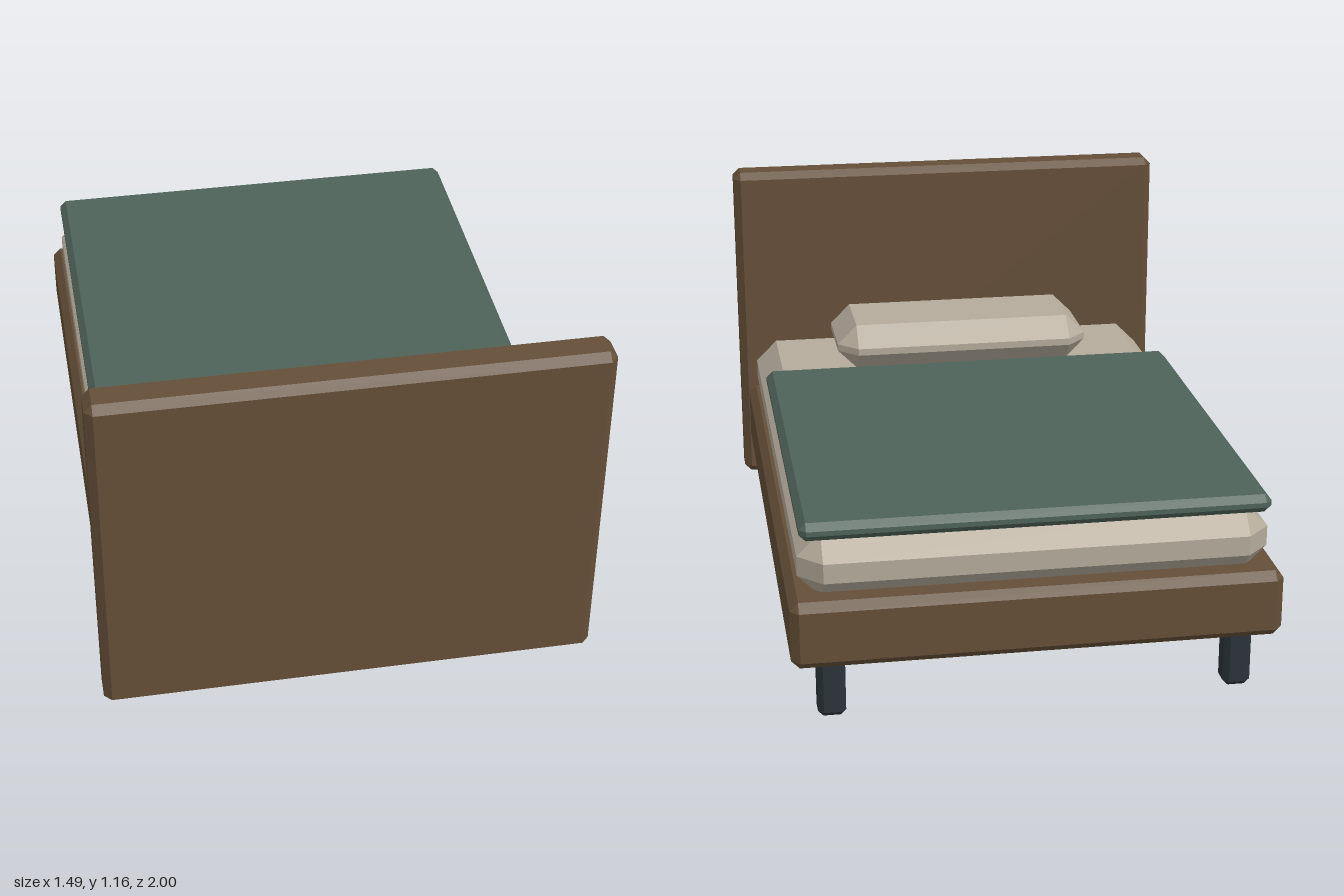
import * as THREE from 'three';
import { ConvexGeometry } from 'three/addons/geometries/ConvexGeometry.js';

const material = (color) => new THREE.MeshStandardMaterial({ color, flatShading: true });

// Box between two corners with every edge and corner cut flat by b
function chamferBox(name, min, max, b, mat) {
  const size = max.map((v, i) => v - min[i]);
  const points = [];
  for (const sx of [-1, 1]) for (const sy of [-1, 1]) for (const sz of [-1, 1]) {
    const s = [sx, sy, sz];
    // three points per corner, each lying on one of the flat faces
    for (let face = 0; face < 3; face++) {
      points.push(new THREE.Vector3(...s.map((d, i) => d * (size[i] / 2 - (i === face ? 0 : b)))));
    }
  }
  const mesh = new THREE.Mesh(new ConvexGeometry(points), mat);
  mesh.position.set(...min.map((v, i) => (v + max[i]) / 2));
  mesh.name = name;
  return mesh;
}

export function createModel() {
  const bed = new THREE.Group();
  bed.name = 'bed';
  const wood = material(0x654f38);
  const linen = material(0xb5ab9b);
  const cloth = material(0x4f635a);
  const dark = material(0x2b343a);

  // Wooden base and headboard
  bed.add(chamferBox('bedFrame', [-0.72, 0.18, -1], [0.72, 0.385, 0.96], 0.025, wood));
  bed.add(chamferBox('headboard', [-0.745, 0.05, 0.88], [0.745, 1.165, 1], 0.023, wood));

  // Bedding
  bed.add(chamferBox('mattress', [-0.69, 0.36, -0.96], [0.69, 0.56, 0.92], 0.07, linen));
  bed.add(chamferBox('pillow', [-0.43, 0.56, 0.445], [0.43, 0.713, 0.82], 0.065, linen));
  bed.add(chamferBox('blanket', [-0.685, 0.555, -0.955], [0.685, 0.61, 0.395], 0.02, cloth));

  // Four legs
  const half = 0.041;
  for (const x of [-0.603, 0.603]) for (const z of [-0.905, 0.868]) {
    bed.add(chamferBox('leg', [x - half, 0, z - half], [x + half, 0.21, z + half], 0.016, dark));
  }
  return bed;
}
